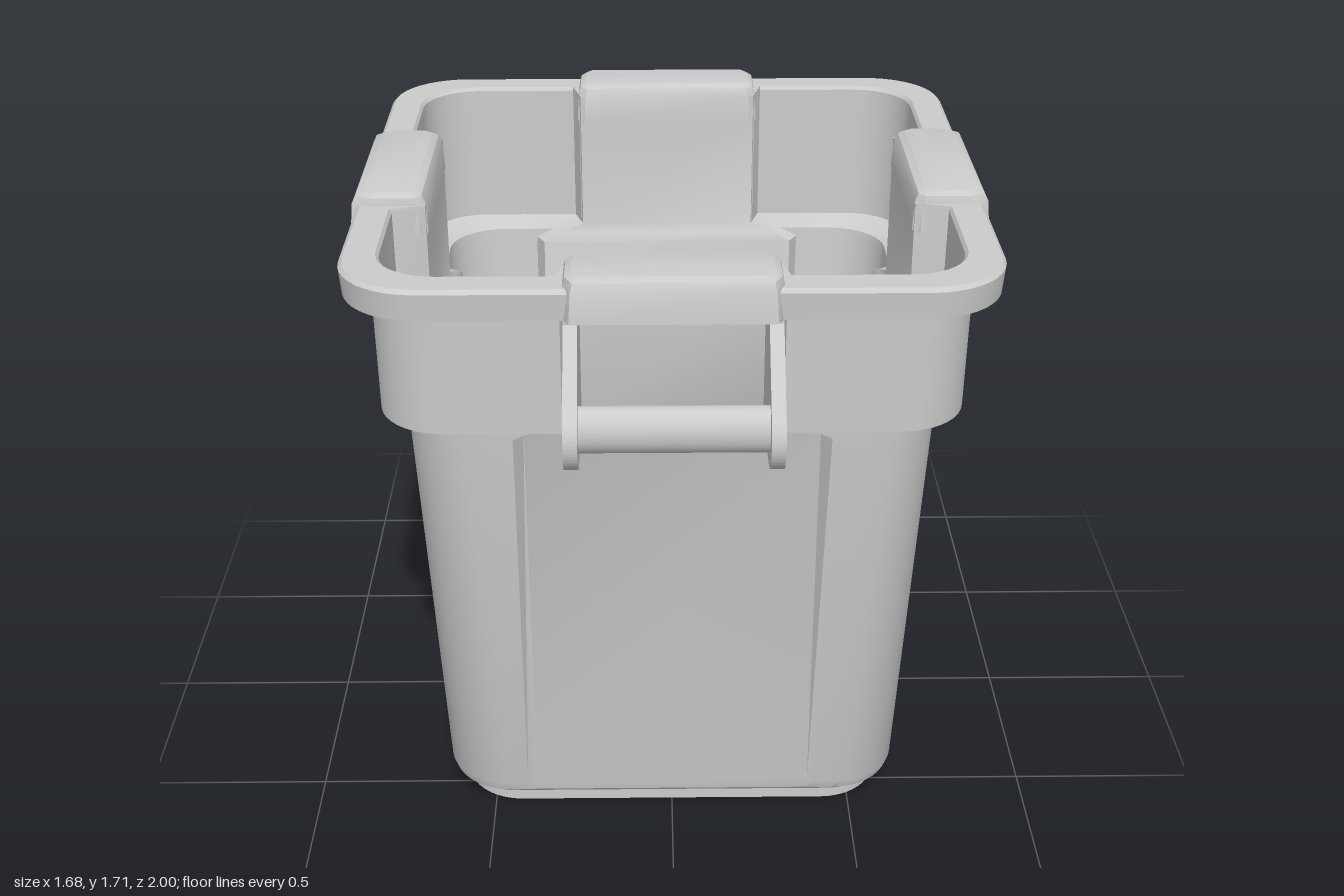
import * as THREE from 'three';
import { toCreasedNormals } from 'three/addons/utils/BufferGeometryUtils.js';

const material = new THREE.MeshStandardMaterial({ color: 0xcccccc });

// Skin a stack of equal-length rings, closing the first and last with fans.
function loft(rings) {
  const n = rings[0].length, pos = [], index = [];
  rings.forEach(r => r.forEach(p => pos.push(...p)));
  for (let j = 0; j < rings.length - 1; j++) {
    for (let i = 0; i < n; i++) {
      const a = j * n + i, b = j * n + (i + 1) % n, c = a + n, d = b + n;
      index.push(a, c, b, b, c, d);
    }
  }
  const cap = (start, up) => {
    const centre = pos.length / 3;
    pos.push(0, 0, 0);
    for (let k = 0; k < 3; k++) {
      let sum = 0;
      for (let i = 0; i < n; i++) sum += pos[(start + i) * 3 + k];
      pos[centre * 3 + k] = sum / n;
    }
    for (let i = 0; i < n; i++) {
      const a = start + i, b = start + (i + 1) % n;
      index.push(centre, up ? b : a, up ? a : b);
    }
  };
  cap(0, false);
  cap((rings.length - 1) * n, true);
  const g = new THREE.BufferGeometry();
  g.setAttribute('position', new THREE.Float32BufferAttribute(pos, 3));
  g.setIndex(index);
  return toCreasedNormals(g, 0.5);
}

// Rounded square of half-width h whose side centres (half-width w) sit at p.
function tubRing([y, h, r, p = h, w = 0.38]) {
  const quarter = [[p, w], [h, w + 0.025]];
  for (let i = 0; i <= 10; i++) {
    const a = (i / 10) * Math.PI / 2;
    quarter.push([h - r + r * Math.cos(a), h - r + r * Math.sin(a)]);
  }
  quarter.push([w + 0.025, h], [w, p]);
  const ring = [];
  for (let q = 0; q < 4; q++) {
    for (const [x, z] of quarter) {
      const [rx, rz] = [[x, z], [-z, x], [-x, -z], [z, -x]][q];
      ring.push([rx, y, rz]);
    }
  }
  return ring;
}

// Pad outline with chamfered outer corners, from z0 to z1.
function padRing([y, w, z0, z1, c]) {
  return [[w, z0 + c / 2], [w, z1 - c], [w - c / 2, z1], [-w + c / 2, z1],
    [-w, z1 - c], [-w, z0 + c / 2], [-w + c / 2, z0], [w - c / 2, z0]]
    .map(([x, z]) => [x, y, z]);
}

function add(parent, name, geometry) {
  const mesh = new THREE.Mesh(geometry, material);
  mesh.name = name;
  parent.add(mesh);
  return mesh;
}

export function createModel() {
  const model = new THREE.Group();
  model.name = 'storageBin';

  // Tub: up the outside, over the rim, down the inside to the floor
  add(model, 'tub', loft([
    // foot and tapering wall
    [0, 0.585, 0.16], [0.05, 0.585, 0.16], [0.05, 0.61, 0.17],
    [0.062, 0.622, 0.17, 0.62], [0.09, 0.63, 0.17, 0.625],
    [1.21, 0.684, 0.18, 0.635], [1.235, 0.686, 0.18, 0.648, 0.325],
    // notched upper band
    [1.26, 0.745, 0.18, 0.66, 0.25], [1.65, 0.75, 0.18, 0.66, 0.25],
    // rim skirt
    [1.65, 0.795, 0.2, 0.795, 0.25], [1.6, 0.795, 0.2, 0.795, 0.25],
    [1.6, 0.815, 0.21, 0.815, 0.25], [1.67, 0.82, 0.21, 0.82, 0.25],
    [1.68, 0.81, 0.2, 0.81, 0.25],
    // inside
    [1.68, 0.732, 0.16, 0.64, 0.26], [1.67, 0.725, 0.16, 0.64, 0.26],
    [1.27, 0.722, 0.16, 0.64, 0.26], [1.245, 0.662, 0.16, 0.628, 0.33],
    [1.22, 0.66, 0.16, 0.615], [0.1, 0.612, 0.15, 0.607], [0.06, 0.59, 0.14],
  ].map(tubRing)));

  // Hollow pads over the rim, one per side
  const padGeometry = loft([
    [1.65, 0.245, 0.66, 0.815, 0.03], [1.6, 0.245, 0.66, 0.815, 0.03],
    [1.6, 0.27, 0.636, 0.84, 0.04], [1.68, 0.265, 0.64, 0.833, 0.04],
    [1.7, 0.26, 0.65, 0.823, 0.04], [1.71, 0.245, 0.668, 0.805, 0.04],
  ].map(padRing));
  ['frontPad', 'leftPad', 'backPad', 'rightPad'].forEach((name, i) => {
    add(model, name, padGeometry).rotation.y = i * Math.PI / 2;
  });

  // Handle bracket profile, drawn as (z, y)
  const bracket = new THREE.Shape();
  bracket.moveTo(0.65, 1.26);
  bracket.lineTo(0.91, 1.26);
  bracket.absarc(0.91, 1.35, 0.09, -Math.PI / 2, 0.74, false);
  bracket.lineTo(0.815, 1.59);
  bracket.lineTo(0.815, 1.64);
  bracket.lineTo(0.65, 1.64);
  const bracketGeometry = toCreasedNormals(new THREE.ExtrudeGeometry(bracket,
    { depth: 0.035, bevelEnabled: false, curveSegments: 20 })
    .translate(0, 0, -0.0175).rotateY(-Math.PI / 2), 0.5);
  const gripGeometry = new THREE.CylinderGeometry(0.06, 0.06, 0.48, 24)
    .rotateZ(Math.PI / 2).scale(1, 1, 0.75);

  // Front and back handles
  ['frontHandle', 'backHandle'].forEach((name, i) => {
    const handle = new THREE.Group();
    handle.name = name;
    handle.rotation.y = i * Math.PI;
    add(handle, 'leftBracket', bracketGeometry).position.x = 0.247;
    add(handle, 'rightBracket', bracketGeometry).position.x = -0.247;
    add(handle, 'grip', gripGeometry).position.set(0, 1.36, 0.915);
    model.add(handle);
  });

  return model;
}
